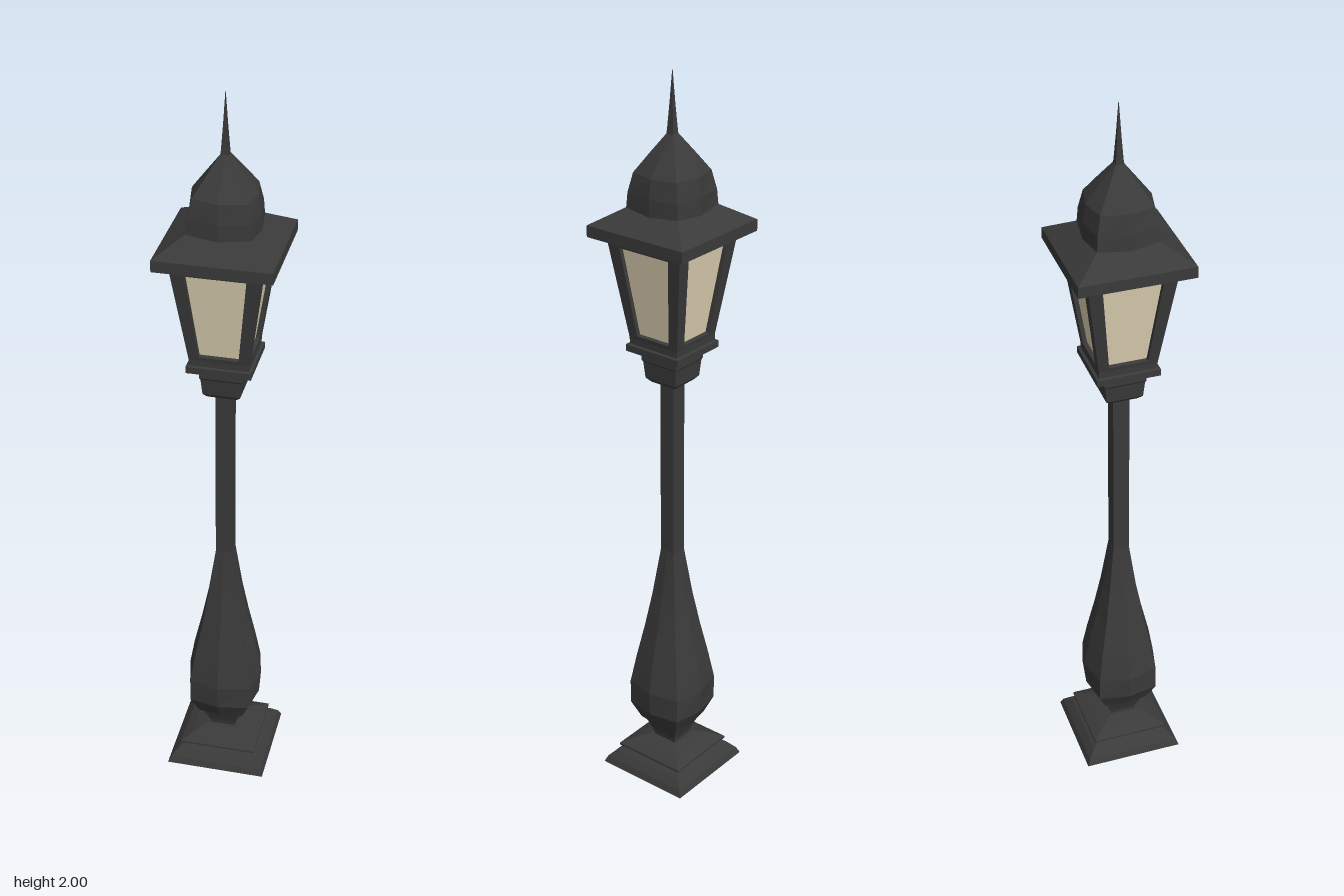
import * as THREE from 'three';

const iron = new THREE.MeshStandardMaterial({ color: 0x3a3a3a, flatShading: true });
const glass = new THREE.MeshStandardMaterial({ color: 0xe0d3b4, flatShading: true });

// Lofts square rings [y, half width at corners, half width at side middles], closed at both ends.
function loft(name, rings, material = iron) {
  const pos = [], index = [];
  for (const [y, c, m = c] of rings) {
    pos.push(m, y, 0, c, y, -c, 0, y, -m, -c, y, -c, -m, y, 0, -c, y, c, 0, y, m, c, y, c);
  }
  for (let r = 0; r < rings.length - 1; r++) {
    for (let i = 0; i < 8; i++) {
      const a = r * 8 + i, b = r * 8 + (i + 1) % 8;
      index.push(a, b, b + 8, a, b + 8, a + 8);
    }
  }
  const top = (rings.length - 1) * 8;
  for (let i = 1; i < 7; i++) {
    index.push(0, i + 1, i, top, top + i, top + i + 1);
  }
  const geo = new THREE.BufferGeometry();
  geo.setAttribute('position', new THREE.Float32BufferAttribute(pos, 3));
  geo.setIndex(index);
  const flat = geo.toNonIndexed();
  flat.computeVertexNormals();
  const mesh = new THREE.Mesh(flat, material);
  mesh.name = name;
  return mesh;
}

// Tapered window frame with one opening, leaning outward at the top.
function windowFrame() {
  const y0 = 1.3, y1 = 1.595, w0 = 0.075, w1 = 0.117;
  const lean = Math.atan2(w1 - w0, y1 - y0);
  const h = (y1 - y0) / Math.cos(lean);
  const shape = new THREE.Shape([[-w0, 0], [w0, 0], [w1, h], [-w1, h]].map(p => new THREE.Vector2(...p)));
  shape.holes.push(new THREE.Path(
    [[-0.051, 0.025], [-0.077, h - 0.03], [0.077, h - 0.03], [0.051, 0.025]].map(p => new THREE.Vector2(...p))));
  const depth = 0.018;
  const geo = new THREE.ExtrudeGeometry(shape, { depth, bevelEnabled: false });
  // Trim the inner face so neighbouring frames meet in mitred corners
  const p = geo.attributes.position;
  for (let i = 0; i < p.count; i++) {
    const x = p.getX(i), y = p.getY(i);
    const edge = w0 + (w1 - w0) * y / h;
    if (p.getZ(i) < depth / 2 && Math.abs(x) > edge - 0.001) p.setX(i, Math.sign(x) * (edge - depth));
  }
  geo.translate(0, 0, -depth);
  geo.rotateX(lean);
  geo.translate(0, y0, w0);
  geo.computeVertexNormals();
  return geo;
}

export function createModel() {
  const model = new THREE.Group();
  model.name = 'streetLamp';

  model.add(
    // Stepped foot
    loft('foot', [[0, 0.138], [0.018, 0.13], [0.038, 0.112], [0.056, 0.08]]),
    loft('footPlate', [[0.054, 0.106], [0.06, 0.106], [0.073, 0.08], [0.085, 0.045]]),
    loft('neck', [[0.08, 0.034], [0.1, 0.038], [0.155, 0.058]]),
    // Bulging lower post
    loft('bulb', [
      [0.148, 0.062, 0.071], [0.2, 0.083, 0.098], [0.27, 0.083, 0.103], [0.35, 0.071, 0.089],
      [0.45, 0.054, 0.066], [0.55, 0.039, 0.046], [0.69, 0.022, 0.023]]),
    loft('pole', [[0.67, 0.022], [1.2, 0.022]]),
    // Lantern seat
    loft('socket', [[1.188, 0.038], [1.2, 0.049], [1.245, 0.053], [1.25, 0.056], [1.28, 0.056]]),
    loft('lanternPlate', [[1.278, 0.084], [1.296, 0.084], [1.298, 0.077], [1.318, 0.077]]),
    // Lantern panes
    loft('panes', [[1.305, 0.064], [1.59, 0.105]], glass),
    // Roof
    loft('roof', [[1.588, 0.15], [1.618, 0.15], [1.662, 0.08]]),
    loft('dome', [
      [1.655, 0.081, 0.091], [1.7, 0.078, 0.09], [1.75, 0.068, 0.083],
      [1.8, 0.038, 0.045], [1.845, 0.01]]),
    loft('spike', [[1.835, 0.011], [1.86, 0.009], [1.92, 0.005], [2, 0.0005]]),
  );

  // Four window frames around the lantern
  const frameGeometry = windowFrame();
  for (let i = 0; i < 4; i++) {
    const frame = new THREE.Mesh(frameGeometry, iron);
    frame.name = 'windowFrame';
    frame.rotation.y = i * Math.PI / 2;
    model.add(frame);
  }
  return model;
}
